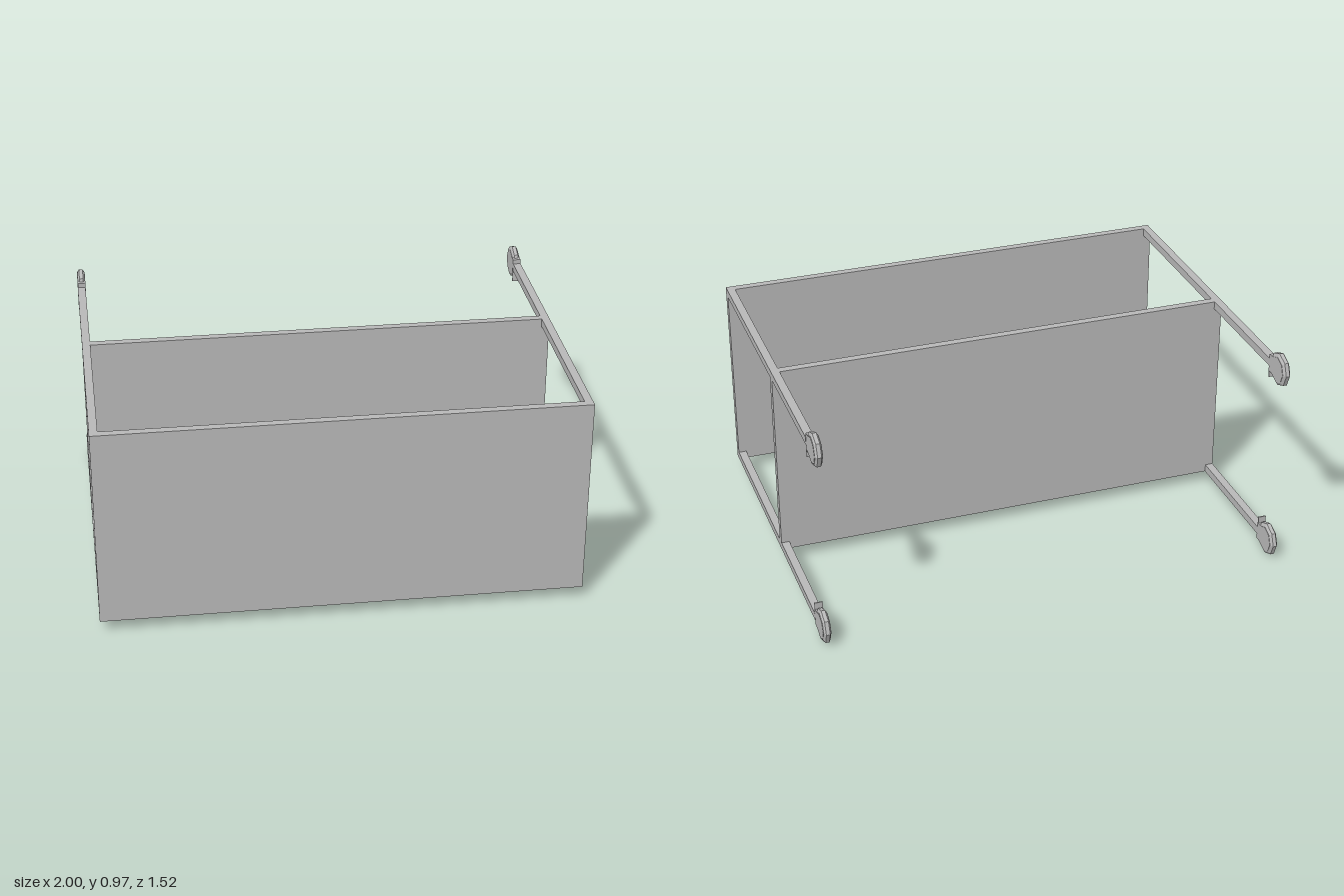
import * as THREE from 'three';

export function createModel() {
  const root = new THREE.Group();
  const grey = new THREE.MeshStandardMaterial({ color: 0xb8b8b8 });
  grey.name = 'grey metal';
  grey.flatShading = true;

  const add = (parent, name, geometry, x, y, z) => {
    const mesh = new THREE.Mesh(geometry, grey);
    mesh.name = name;
    mesh.position.set(x, y, z);
    parent.add(mesh);
    return mesh;
  };

  const T = 0.034;                  // thickness of rails and boards
  const yLow = 0.073, yHigh = 0.895; // leg centre lines
  const yMid = (yLow + yHigh) / 2;
  const height = yHigh - yLow + T;
  const legX = 1 - T / 2;
  const wheelZ = -0.69;

  // Table top and middle shelf, standing on edge
  add(root, 'tableTop', new THREE.BoxGeometry(2, height, T), 0, yMid, 0.745);
  add(root, 'shelf', new THREE.BoxGeometry(2, height - 0.001, T), 0, yMid, -0.054);

  // Eight-sided wheel with bevelled rims, axle along x
  const wheelGeo = new THREE.LatheGeometry([
    [0, -0.0155], [0.06, -0.0155], [0.072, -0.008],
    [0.072, 0.008], [0.06, 0.0155], [0, 0.0155],
  ].map(([r, h]) => new THREE.Vector2(r, h)), 8);
  wheelGeo.rotateZ(Math.PI / 2);

  // Caster housing: octagonal plate with a neck towards the leg
  const housingShape = new THREE.Shape();
  housingShape.moveTo(0.07, -0.037);
  housingShape.lineTo(0.07, 0.037);
  for (let i = 1; i <= 7; i++) {
    const a = i * Math.PI / 4;
    housingShape.lineTo(Math.cos(a) * 0.056, Math.sin(a) * 0.056);
  }
  const housingGeo = new THREE.ExtrudeGeometry(housingShape, { depth: T, bevelEnabled: false });
  housingGeo.translate(0, 0, -T / 2);
  housingGeo.rotateY(-Math.PI / 2); // shape x becomes +z

  // Legs with casters
  const legFront = 0.728, legBack = -0.62;
  const legGeo = new THREE.BoxGeometry(T, T, legFront - legBack);
  for (const sx of [-1, 1]) {
    for (const [y, inward] of [[yLow, 1], [yHigh, -1]]) {
      add(root, 'leg', legGeo, sx * legX, y, (legFront + legBack) / 2);
      const caster = new THREE.Group();
      caster.name = 'caster';
      caster.position.set(sx * (legX - 0.001), y, wheelZ);
      root.add(caster);
      add(caster, 'wheel', wheelGeo, 0, 0, 0);
      add(caster, 'housing', housingGeo, 0, 0, 0);
      // Brake tab pointing towards the opposite leg
      add(caster, 'brakeTab', new THREE.BoxGeometry(T, 0.05, 0.005), sx * 0.001, inward * 0.043, 0.068);
    }
  }
  return root;
}
